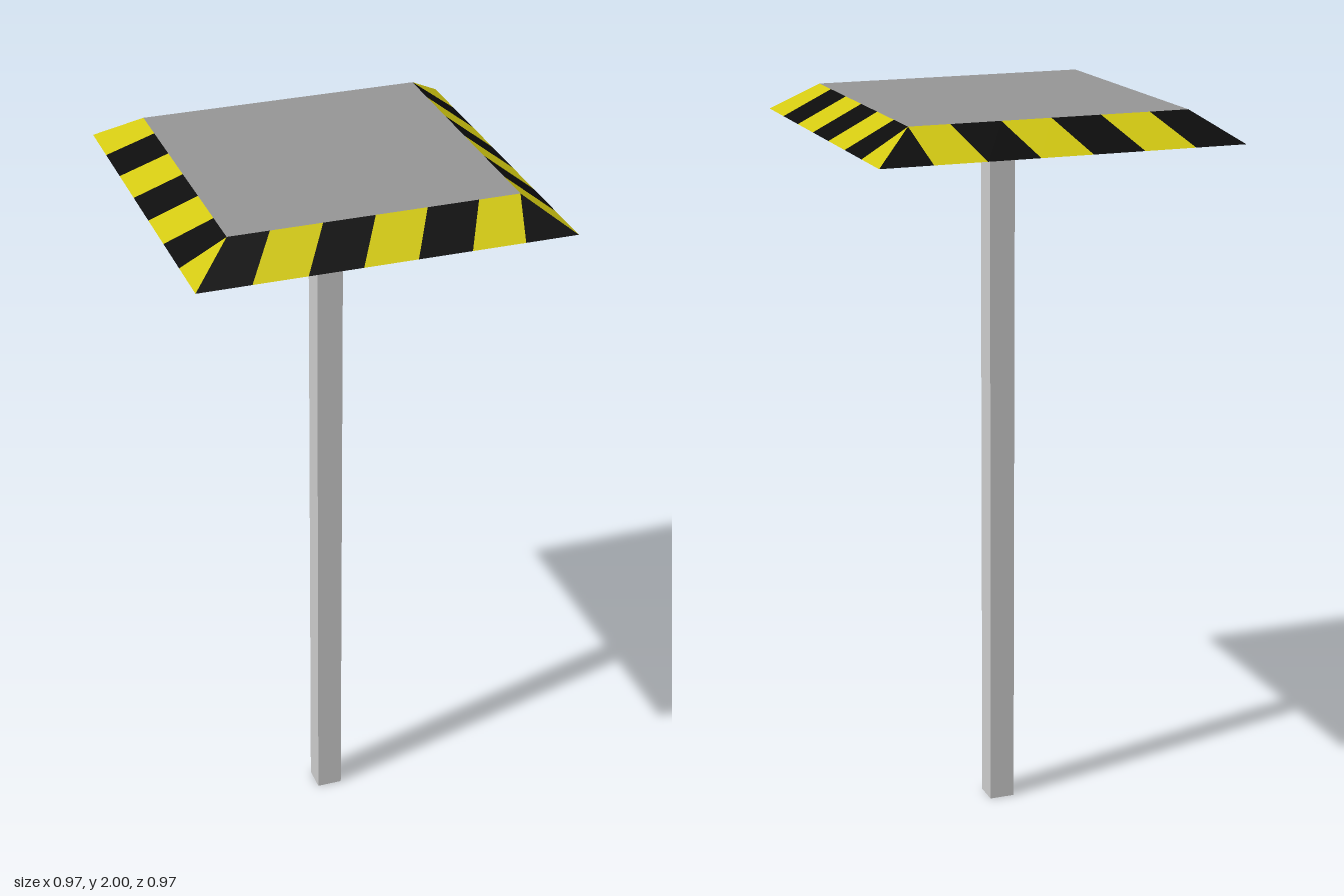
import * as THREE from 'three';

const LOW = 1.922, TOP = 2;        // canopy heights
const OUTER = 0.486, INNER = 0.375; // half widths of the canopy's lower and upper edge
const STRIPES = 7;

const grey = new THREE.MeshStandardMaterial({ color: 0xcccccc });
const darkGrey = new THREE.MeshStandardMaterial({ color: 0x969696 });
const yellow = new THREE.MeshStandardMaterial({ color: 0xd2c811 });
const black = new THREE.MeshStandardMaterial({ color: 0x0c0c0c });

function addMesh(parent, name, geometry, material) {
  const mesh = new THREE.Mesh(geometry, material);
  mesh.name = name;
  parent.add(mesh);
  return mesh;
}

// Every second slanted stripe of one sloping edge, facing +z
function stripeGeometry(first, mirrored) {
  const low = [], high = [];
  for (let i = 0; i <= STRIPES; i++) {
    low.push(-OUTER + (2 * OUTER * i) / STRIPES);
    high.push(i === 0 ? -INNER : Math.min(INNER, -0.268 + 0.1335 * (i - 1)));
  }
  // The last stripe narrows to a point at the upper corner
  high[STRIPES - 1] = high[STRIPES] = INNER;
  if (mirrored) {
    for (const edge of [low, high]) edge.reverse().forEach((v, i) => { edge[i] = -v; });
  }
  const positions = [];
  for (let i = first; i < STRIPES; i += 2) {
    const a = [low[i], LOW, OUTER], b = [low[i + 1], LOW, OUTER];
    const c = [high[i + 1], TOP, INNER], d = [high[i], TOP, INNER];
    if (high[i + 1] - high[i] > 1e-6) positions.push(...a, ...b, ...c, ...a, ...c, ...d);
    else positions.push(...a, ...b, ...c);
  }
  const geometry = new THREE.BufferGeometry();
  geometry.setAttribute('position', new THREE.Float32BufferAttribute(positions, 3));
  geometry.computeVertexNormals();
  return geometry;
}

export function createModel() {
  const model = new THREE.Group();
  model.name = 'canopyOnPost';

  // Square post
  const post = addMesh(model, 'post', new THREE.BoxGeometry(0.07, LOW, 0.07), grey);
  post.position.y = LOW / 2;

  // Canopy: flat top, flat underside and four striped slopes
  const canopy = new THREE.Group();
  canopy.name = 'canopy';
  model.add(canopy);

  const top = addMesh(canopy, 'canopyTop', new THREE.PlaneGeometry(2 * INNER, 2 * INNER), darkGrey);
  top.rotation.x = -Math.PI / 2;
  top.position.y = TOP;

  const underside = addMesh(canopy, 'canopyUnderside', new THREE.PlaneGeometry(2 * OUTER, 2 * OUTER), darkGrey);
  underside.rotation.x = Math.PI / 2;
  underside.position.y = LOW;

  // Front and back slopes end in black, the side slopes end in yellow
  ['front', 'left', 'back', 'right'].forEach((side, i) => {
    const slope = new THREE.Group();
    slope.name = side + 'Slope';
    slope.rotation.y = (i * Math.PI) / 2;
    const endsBlack = i % 2 === 0;
    const mirrored = side === 'back';
    addMesh(slope, side + 'BlackStripes', stripeGeometry(endsBlack ? 0 : 1, mirrored), black);
    addMesh(slope, side + 'YellowStripes', stripeGeometry(endsBlack ? 1 : 0, mirrored), yellow);
    canopy.add(slope);
  });

  return model;
}
